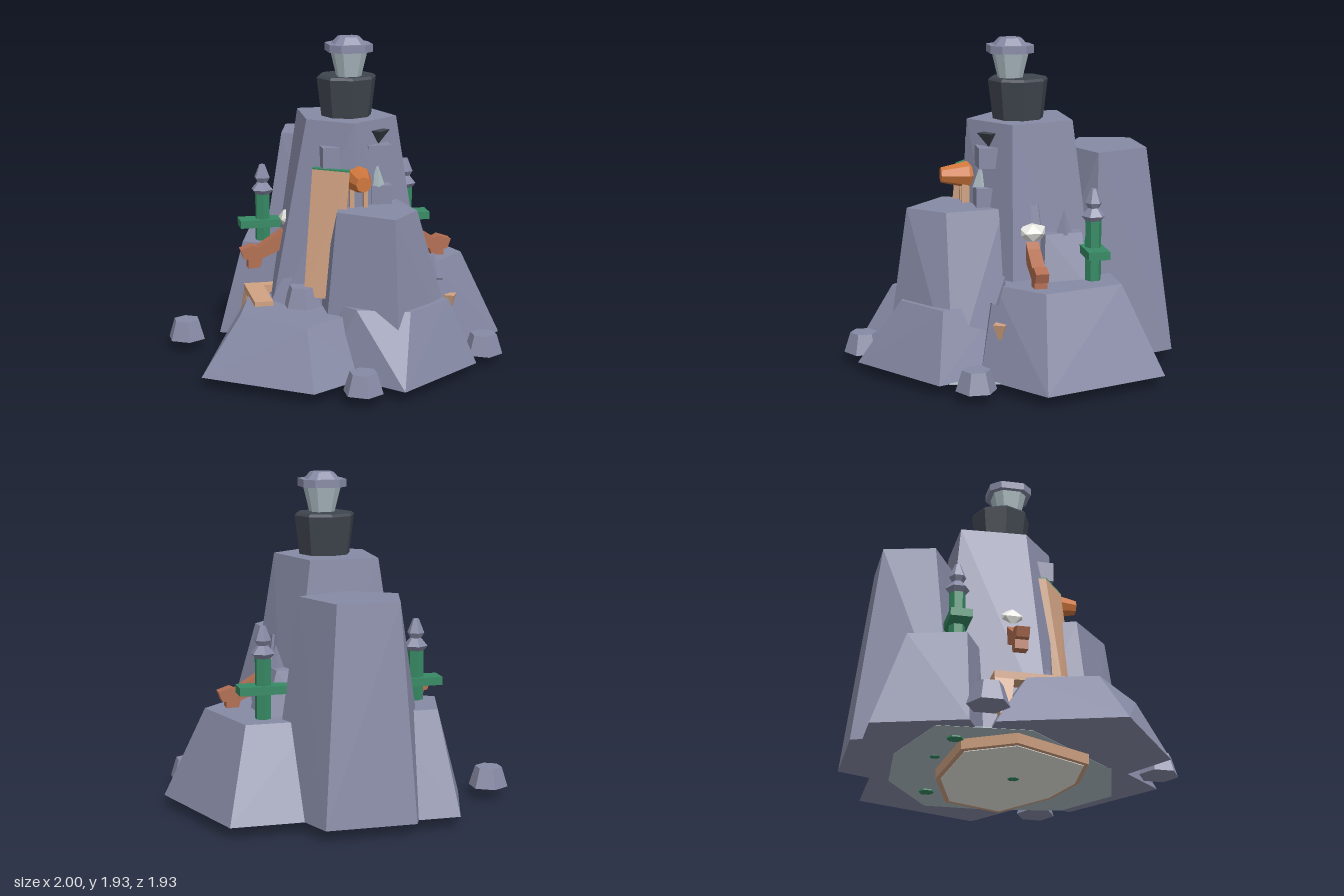
import * as THREE from 'three';
import { ConvexGeometry } from 'three/addons/geometries/ConvexGeometry.js';

const mat = (name, color) => Object.assign(new THREE.MeshStandardMaterial({ color, flatShading: true }), { name });
const M = {
  rock: mat('slateRock', 0x878aa5),
  tan: mat('tanWood', 0xd0a282),
  green: mat('greenPaint', 0x368a64),
  orange: mat('orangeMetal', 0xd0763c),
  brown: mat('brownWood', 0xb36f53),
  iron: mat('darkIron', 0x3f454e),
  glass: mat('lanternGlass', 0xacbcc2),
  pale: mat('paleStone', 0xe8e8e3),
};

const BASE = 0.065;

export function createModel() {
  const root = new THREE.Group();
  root.name = 'rockyOutpost';

  const add = (name, geo, material, x = 0, y = 0, z = 0) => {
    const m = new THREE.Mesh(geo, material);
    m.name = name;
    m.position.set(x, y, z);
    root.add(m);
    return m;
  };
  // convex block between two outlines of [x, z] points
  const frustum = (name, material, y0, bottom, y1, top) => add(name, new ConvexGeometry([
    ...bottom.map(([x, z]) => new THREE.Vector3(x, y0, z)),
    ...top.map(([x, z]) => new THREE.Vector3(x, y1, z)),
  ]), material);
  const box = (name, material, w, h, d, x, y, z) => add(name, new THREE.BoxGeometry(w, h, d), material, x, y, z);
  const drum = (name, material, rTop, rBottom, h, sides, x, y, z) =>
    add(name, new THREE.CylinderGeometry(rTop, rBottom, h, sides), material, x, y + h / 2, z);

  // main crags
  frustum('centralCrag', M.rock, BASE, [[-0.38, -0.5], [0.4, -0.5], [0.54, 0.06], [0.03, 0.32], [-0.5, 0.1]],
    1.46, [[-0.2, -0.36], [0.2, -0.36], [0.32, 0.02], [0.02, 0.23], [-0.22, 0.03]]);
  frustum('backCrag', M.rock, BASE, [[-0.25, -0.965], [0.27, -0.965], [0.46, -0.45], [0, -0.15], [-0.48, -0.45]],
    1.28, [[-0.19, -0.815], [0.17, -0.815], [0.3, -0.49], [0, -0.37], [-0.27, -0.52]]);
  frustum('rightCrag', M.rock, BASE, [[0.76, -0.775], [1, -0.04], [0.6, 0.26], [0.2, 0.2], [0.25, -0.775]],
    0.58, [[0.62, -0.55], [0.76, -0.08], [0.5, 0.16], [0.2, 0.05], [0.24, -0.55]]);
  frustum('backLeftCrag', M.rock, BASE, [[-0.525, -0.9], [-0.15, -0.9], [-0.1, -0.1], [-0.25, -0.2], [-0.69, -0.39]],
    0.64, [[-0.45, -0.7], [-0.15, -0.7], [-0.15, -0.3], [-0.28, -0.24], [-0.54, -0.38]]);
  frustum('leftFrontCrag', M.rock, BASE, [[-0.69, -0.25], [-0.91, 0.42], [-0.34, 0.83], [0.05, 0.6], [0, -0.25]],
    0.39, [[-0.56, -0.05], [-0.67, 0.33], [-0.34, 0.635], [-0.05, 0.45], [-0.1, -0.1]]);
  frustum('lowFrontCrag', M.rock, BASE, [[-0.2, 0.5], [0.16, 0.905], [0.69, 0.51], [0.5, 0], [-0.1, 0]],
    0.45, [[-0.1, 0.46], [-0.04, 0.56], [0.25, 0.66], [0.53, 0.46], [0.4, 0.1], [0, 0.1]]);
  frustum('tallFrontCrag', M.rock, BASE, [[-0.21, 0.43], [0.17, 0.74], [0.61, 0.42], [0.48, 0], [-0.2, 0]],
    0.975, [[-0.11, 0.36], [0.17, 0.61], [0.35, 0.41], [0.3, 0.07], [-0.02, 0.07]]);
  frustum('ledge', M.rock, 0.5, [[0.2, -0.45], [0.5, -0.42], [0.52, -0.12], [0.2, -0.05]],
    0.84, [[0.2, -0.38], [0.4, -0.37], [0.43, -0.15], [0.2, -0.1]]);

  // loose boulders and shards
  for (const [x, y, z] of [[-0.9, BASE, -0.335], [0.79, BASE, 0.32], [-0.065, BASE, 0.845], [-0.28, 0.39, 0.2]])
    drum('boulder', M.rock, 0.08, 0.117, 0.117, 6, x, y, z);
  drum('shard', M.rock, 0, 0.05, 0.14, 4, 0.38, 0.83, -0.27);
  drum('shard', M.rock, 0.04, 0.06, 0.12, 6, 0.33, 0.88, -0.1);
  drum('shard', M.rock, 0.02, 0.08, 0.24, 4, -0.34, 0.38, 0.1).rotation.z = -0.25;
  drum('shard', M.rock, 0.01, 0.06, 0.16, 4, 0.53, 0.48, 0.14).rotation.x = -0.4;

  // foundation
  const slab = [[-0.56, -0.1], [-0.4, -0.38], [0.1, -0.43], [0.5, -0.3], [0.63, 0.05], [0.3, 0.3], [0, 0.39], [-0.32, 0.36]];
  const shrink = (k) => slab.map(([x, z]) => [x * k, z * k]);
  frustum('foundation', M.tan, 0.006, shrink(0.995), BASE, slab);
  frustum('foundationFloor', M.pale, 0.002, shrink(0.93), 0.006, shrink(0.93));
  const plate = [[0.67, 0.45], [0.75, 0.01], [0.76, -0.38], [0.36, -0.66], [-0.09, -0.7], [-0.57, -0.55],
    [-0.61, -0.03], [-0.11, 0.55], [0.34, 0.68]];
  frustum('undersidePlate', M.glass, 0.0635, plate, 0.07, plate);
  drum('greenPatch', M.green, 0.035, 0.035, 0.006, 6, 0, 0, 0);
  drum('greenPatch', M.green, 0.03, 0.03, 0.006, 6, -0.1, 0.06, -0.47);

  // leaning board with its painted top edge
  const boardTop = [[-0.19, 0.08], [0, 0.22], [-0.21, 0.15], [-0.02, 0.29]];
  frustum('leaningBoard', M.tan, 0.45, [[-0.25, 0.13], [-0.07, 0.24], [-0.28, 0.23], [-0.09, 0.35]], 1.188, boardTop);
  frustum('boardEdge', M.green, 1.188, boardTop, 1.195, boardTop);

  // side platform and its prop
  box('sidePlatform', M.tan, 0.11, 0.045, 0.41, -0.505, 0.395, -0.025);
  box('platformEnd', M.tan, 0.12, 0.045, 0.07, -0.4, 0.395, -0.195);
  frustum('platformProp', M.tan, 0.08, [[-0.62, -0.2], [-0.58, -0.2], [-0.58, -0.16], [-0.62, -0.16]],
    0.375, [[-0.56, -0.23], [-0.42, -0.23], [-0.42, -0.12], [-0.56, -0.12]]);
  drum('tanPeg', M.tan, 0.05, 0, 0.13, 4, 0.625, 0.255, 0.15).rotation.y = 0.3;

  // posts with pointed caps, and forked beams, mirrored about x = 0.04
  const capProfile = [[0, 0.925], [0.045, 0.925], [0.07, 0.955], [0.032, 1], [0.05, 1.03], [0.018, 1.11], [0, 1.11]]
    .map(([r, y]) => new THREE.Vector2(r, y));
  const fork = [[0.645, 0.675], [0.625, 0.62], [0.6, 0.615], [0.6, 0.56], [0.53, 0.565], [0.515, 0.62],
    [0.37, 0.68], [0.37, 0.8], [0.415, 0.765], [0.54, 0.685], [0.57, 0.7]];
  for (const s of [-1, 1]) {
    const px = 0.04 + s * 0.45;
    drum('greenPost', M.green, 0.047, 0.047, 0.885, 6, px, 0.055, -0.415);
    add('postCap', new THREE.LatheGeometry(capProfile, 6), M.rock, px, 0, -0.415);
    box('postShelf', M.green, 0.32, 0.047, 0.125, 0.04 + s * 0.435, 0.75, -0.415);

    const shape = new THREE.Shape(fork.map(([x, y]) => new THREE.Vector2(s * x, y)));
    add('forkedBeam', new THREE.ExtrudeGeometry(shape, { depth: 0.075, bevelEnabled: false }), M.brown, 0.04, 0, -0.115);
    const stone = add('paleStone', new THREE.IcosahedronGeometry(1, 0), M.pale, 0.04 + s * 0.345, 0.85, -0.08);
    stone.scale.set(0.065, 0.06, 0.09);
  }

  // cannon on two legs
  const cannon = add('cannon', new THREE.CylinderGeometry(0.045, 0.08, 0.16, 8), M.orange, 0.04, 1.135, 0.31);
  cannon.rotation.x = Math.PI / 2;
  const breech = add('cannonBreech', new THREE.CylinderGeometry(0.08, 0.065, 0.035, 8), M.orange, 0.04, 1.135, 0.2125);
  breech.rotation.x = Math.PI / 2;
  for (const x of [0, 0.08]) box('cannonLeg', M.tan, 0.025, 0.12, 0.045, x, 1.025, 0.25);

  // stacked stones beside the cannon
  box('stackBlock', M.rock, 0.12, 0.11, 0.1, 0.19, 1.03, 0.165);
  drum('paleSpike', M.glass, 0, 0.045, 0.13, 4, 0.17, 1.08, 0.18);
  box('stackBlock', M.rock, 0.14, 0.12, 0.11, 0.18, 1.26, 0.145);
  drum('ironFunnel', M.iron, 0.07, 0.005, 0.08, 4, 0.185, 1.32, 0.13);
  box('wallBlock', M.rock, 0.1, 0.12, 0.11, -0.11, 1.26, 0.155);

  // beacon: iron drum, glass and cap
  for (const [r0, y, r1, h] of [[0.15, 1.46, 0.178, 0.225], [0.178, 1.685, 0.165, 0.015]])
    drum('ironDrum', M.iron, r1, r0, h, 8, 0.04, y, -0.07);
  const cut = (h, c = 0.55) => [[-h, -h * c], [-h * c, -h], [h * c, -h], [h, -h * c], [h, h * c], [h * c, h], [-h * c, h], [-h, h * c]]
    .map(([x, z]) => [x + 0.043, z - 0.022]);
  frustum('beaconGlass', M.glass, 1.69, cut(0.065), 1.85, cut(0.1));
  frustum('beaconRim', M.rock, 1.845, cut(0.128), 1.89, cut(0.128));
  frustum('beaconCap', M.rock, 1.89, cut(0.095), 1.93, cut(0.06));

  return root;
}
